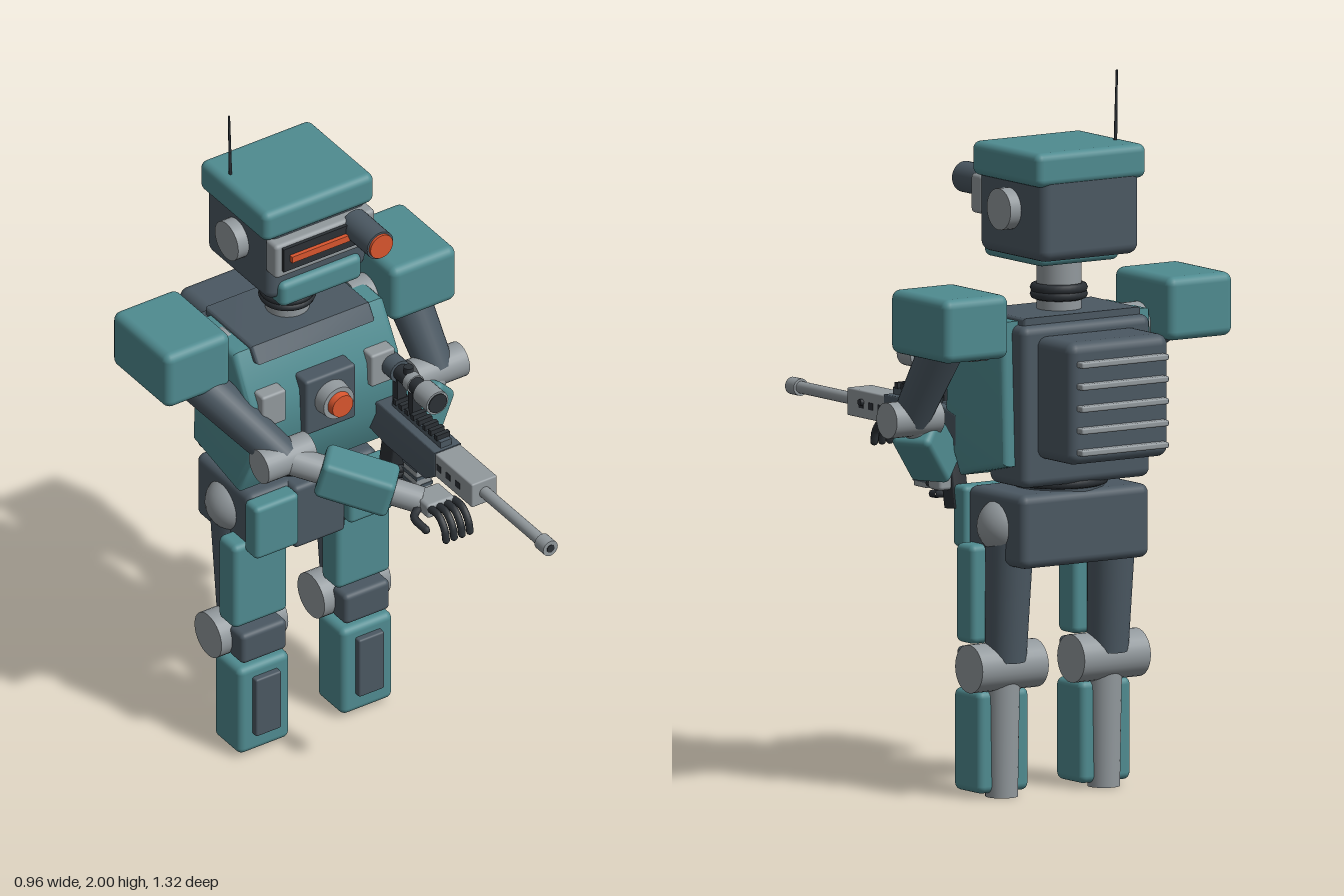
import * as THREE from 'three';
import { RoundedBoxGeometry } from 'three/addons/geometries/RoundedBoxGeometry.js';
import { toCreasedNormals } from 'three/addons/utils/BufferGeometryUtils.js';

const colour = (name, hex) => {
  const m = new THREE.MeshStandardMaterial({ color: hex });
  m.name = name;
  return m;
};
const V = (x, y, z) => new THREE.Vector3(x, y, z);

export function createModel() {
  const teal = colour('teal armour', 0x4f8b90);
  const dark = colour('slate frame', 0x4b5862);
  const light = colour('light metal', 0x92999d);
  const black = colour('black rubber', 0x2b3035);
  const orange = colour('orange glow', 0xd9552e);

  const root = new THREE.Group();
  root.name = 'robot';
  const section = (name) => {
    const g = new THREE.Group();
    g.name = name;
    root.add(g);
    return g;
  };
  const add = (g, name, geo, mat) => {
    const m = new THREE.Mesh(geo, mat);
    m.name = name;
    g.add(m);
    return m;
  };
  // Box given by its limits, with rounded edges when r > 0
  const box = (g, name, mat, x0, x1, y0, y1, z0, z1, r = 0) => {
    const s = [x1 - x0, y1 - y0, z1 - z0];
    const geo = r ? new RoundedBoxGeometry(...s, 3, r) : new THREE.BoxGeometry(...s);
    const m = add(g, name, geo, mat);
    m.position.set((x0 + x1) / 2, (y0 + y1) / 2, (z0 + z1) / 2);
    return m;
  };
  // Cylinder between two points
  const rod = (g, name, mat, a, b, ra, rb = ra, sides = 28) => {
    const m = add(g, name, new THREE.CylinderGeometry(rb, ra, a.distanceTo(b), sides), mat);
    m.position.copy(a).lerp(b, 0.5);
    m.quaternion.setFromUnitVectors(V(0, 1, 0), b.clone().sub(a).normalize());
    return m;
  };
  // Rounded box running along the line from a to b
  const sleeve = (g, name, mat, a, b, w, h, r) => {
    const m = add(g, name, new RoundedBoxGeometry(w, h, a.distanceTo(b), 3, r), mat);
    m.position.copy(a).lerp(b, 0.5);
    m.lookAt(b);
    return m;
  };
  const tube = (g, name, mat, pts, r) => {
    add(g, name, new THREE.TubeGeometry(new THREE.CatmullRomCurve3(pts), 10, r, 8), mat);
    const tip = add(g, name + 'Tip', new THREE.SphereGeometry(r, 8, 6), mat);
    tip.position.copy(pts[pts.length - 1]);
  };
  // Side outline of [z, y] points, extruded across x with a bevel
  const slab = (g, name, mat, outline, x, width, bevel) => {
    const shape = new THREE.Shape(outline.map(([z, y]) => new THREE.Vector2(z, y)));
    const geo = new THREE.ExtrudeGeometry(shape, {
      depth: width - 2 * bevel, bevelEnabled: bevel > 0, bevelSize: bevel,
      bevelThickness: bevel, bevelOffset: -bevel, bevelSegments: 3,
    });
    geo.translate(0, 0, bevel - width / 2);
    geo.rotateY(-Math.PI / 2);
    add(g, name, toCreasedNormals(geo, 0.6), mat).position.x = x;
  };

  // Head
  const head = section('head');
  box(head, 'skull', dark, -0.165, 0.165, 1.5, 1.76, -0.495, -0.18, 0.03);
  box(head, 'cap', teal, -0.183, 0.183, 1.71, 1.805, -0.5, -0.172, 0.022);
  box(head, 'jaw', teal, -0.135, 0.135, 1.48, 1.56, -0.44, -0.16, 0.02);
  box(head, 'visorFrame', light, -0.165, 0.165, 1.6, 1.71, -0.2, -0.145, 0.012);
  box(head, 'visor', black, -0.145, 0.135, 1.625, 1.7, -0.16, -0.135);
  box(head, 'visorGlow', orange, -0.125, 0.065, 1.655, 1.675, -0.137, -0.123);
  rod(head, 'eyeBarrel', dark, V(0.103, 1.68, -0.16), V(0.103, 1.68, -0.03), 0.043);
  rod(head, 'eyeLens', orange, V(0.103, 1.68, -0.03), V(0.103, 1.68, -0.022), 0.037);
  for (const s of [-1, 1])
    rod(head, 'ear', light, V(s * 0.15, 1.635, -0.335), V(s * 0.2, 1.635, -0.335), 0.058);
  rod(head, 'antenna', black, V(-0.147, 1.79, -0.395), V(-0.152, 2, -0.395), 0.005, 0.003, 8);

  // Neck
  rod(head, 'neck', light, V(0, 1.3, -0.335), V(0, 1.52, -0.335), 0.062);
  for (const y of [1.385, 1.403]) {
    const ring = add(head, 'collar', new THREE.TorusGeometry(0.066, 0.014, 8, 32), black);
    ring.rotation.x = Math.PI / 2;
    ring.position.set(0, y, -0.335);
  }

  // Torso
  const torso = section('torso');
  slab(torso, 'chest', teal, [[-0.42, 1.335], [-0.23, 1.335], [-0.15, 1.2], [-0.14, 1.03],
    [-0.21, 0.885], [-0.435, 0.935]], 0, 0.5, 0.018);
  box(torso, 'backFrame', dark, -0.215, 0.215, 0.875, 1.325, -0.475, -0.3, 0.025);
  slab(torso, 'collarPlate', dark, [[-0.45, 1.345], [-0.22, 1.345], [-0.19, 1.3], [-0.3, 1.28],
    [-0.45, 1.28]], 0, 0.39, 0.008);
  box(torso, 'chestPanel', dark, -0.083, 0.083, 1.06, 1.24, -0.19, -0.118, 0.01);
  rod(torso, 'coreRim', light, V(0, 1.163, -0.13), V(0, 1.163, -0.08), 0.055, 0.05);
  rod(torso, 'core', orange, V(0, 1.163, -0.09), V(0, 1.163, -0.06), 0.038, 0.034);
  for (const s of [-1, 1])
    box(torso, 'chestPod', light, s * 0.18 - 0.04, s * 0.18 + 0.04, 1.13, 1.235, -0.2, -0.128, 0.008);
  box(torso, 'backpack', dark, -0.167, 0.167, 0.955, 1.295, -0.635, -0.45, 0.03);
  for (let i = 0; i < 5; i++)
    box(torso, 'backpackRib', light, -0.145, 0.145, 0.983 + i * 0.061, 1.0 + i * 0.061, -0.66, -0.62, 0.005);

  // Waist and pelvis
  rod(torso, 'waist', dark, V(0, 0.82, -0.335), V(0, 0.9, -0.335), 0.125);
  const waistRing = add(torso, 'waistRing', new THREE.TorusGeometry(0.124, 0.013, 8, 36), black);
  waistRing.rotation.x = Math.PI / 2;
  waistRing.position.set(0, 0.872, -0.335);
  box(torso, 'pelvis', dark, -0.215, 0.215, 0.65, 0.855, -0.47, -0.2, 0.025);
  box(torso, 'groinPlate', dark, -0.085, 0.085, 0.65, 0.855, -0.24, -0.17, 0.015);

  // Legs
  for (const s of [-1, 1]) {
    const leg = section(s > 0 ? 'leftLeg' : 'rightLeg');
    const x = s * 0.17;
    const part = (name, mat, w, ...lim) => box(leg, name, mat, x - w, x + w, ...lim);
    const hip = add(leg, 'hipJoint', new THREE.SphereGeometry(0.08, 24, 16), light);
    hip.position.set(s * 0.177, 0.755, -0.335);
    box(leg, 'hipPlate', teal, s * 0.155 - 0.073, s * 0.155 + 0.073, 0.68, 0.852, -0.21, -0.148, 0.015);
    rod(leg, 'thigh', dark, V(x, 0.38, -0.325), V(x, 0.755, -0.345), 0.057, 0.068);
    part('thighPlate', teal, 0.09, 0.425, 0.7, -0.292, -0.208, 0.018);
    rod(leg, 'knee', light, V(x - 0.11, 0.362, -0.307), V(x + 0.11, 0.362, -0.307), 0.067);
    part('kneePad', dark, 0.075, 0.312, 0.41, -0.26, -0.19, 0.015);
    rod(leg, 'shin', light, V(x, 0, -0.305), V(x, 0.36, -0.307), 0.045, 0.05);
    part('shinPlate', teal, 0.085, 0.012, 0.297, -0.32, -0.19, 0.02);
    part('shinInset', dark, 0.042, 0.072, 0.262, -0.2, -0.17, 0.006);
  }

  // Arms: elbow and wrist points differ, as both hands hold the rifle
  const poses = [
    { name: 'rightArm', s: -1, elbow: V(-0.19, 1.06, -0.07), wrist: V(0.095, 0.955, 0.185), f0: 0.27, f1: 0.8 },
    { name: 'leftArm', s: 1, elbow: V(0.4, 1.055, -0.2), wrist: V(0.255, 0.89, -0.125), f0: 0.16, f1: 0.95 },
  ];
  for (const { name, s, elbow, wrist, f0, f1 } of poses) {
    const arm = section(name);
    const shoulder = V(s * 0.37, 1.3, -0.335);
    box(arm, 'pauldron', teal, s * 0.373 - 0.108, s * 0.373 + 0.108, 1.245, 1.422, -0.487, -0.21, 0.025);
    rod(arm, 'shoulderJoint', light, V(s * 0.2, 1.28, -0.335), V(s * 0.3, 1.28, -0.335), 0.06);
    rod(arm, 'upperArm', dark, shoulder, elbow, 0.064, 0.052);
    rod(arm, 'elbow', light, elbow.clone().add(V(-0.08, 0, 0)), elbow.clone().add(V(0.08, 0, 0)), 0.05);
    rod(arm, 'forearm', light, elbow, wrist, 0.042, 0.038);
    sleeve(arm, 'forearmPlate', teal, elbow.clone().lerp(wrist, f0), elbow.clone().lerp(wrist, f1), 0.12, 0.115, 0.018);
  }

  // Hands
  const rightHand = section('rightHand');
  box(rightHand, 'palm', light, 0.073, 0.165, 0.935, 0.98, 0.165, 0.25, 0.01);
  for (let i = 0; i < 4; i++) {
    const x = 0.085 + i * 0.026;
    tube(rightHand, 'finger', black, [V(x, 0.965, 0.24), V(x, 0.965, 0.285), V(x, 0.935, 0.315), V(x, 0.905, 0.322)], 0.011);
  }
  tube(rightHand, 'thumb', black, [V(0.08, 0.95, 0.2), V(0.045, 0.94, 0.225), V(0.05, 0.925, 0.275)], 0.012);
  const leftHand = section('leftHand');
  box(leftHand, 'palm', light, 0.225, 0.27, 0.835, 0.915, -0.15, -0.09, 0.01);
  for (let i = 0; i < 4; i++) {
    const y = 0.905 - i * 0.027, z = -0.085 - i * 0.015;
    tube(leftHand, 'finger', black, [V(0.258, y, z), V(0.25, y - 0.005, z + 0.045), V(0.21, y - 0.01, z + 0.06), V(0.178, y - 0.01, z + 0.04)], 0.011);
  }

  // Rifle
  const gun = section('rifle');
  const gx = 0.207, gy = 1.023;
  const gunBox = (name, mat, w, ...lim) => box(gun, name, mat, gx - w, gx + w, ...lim);
  const gunRod = (name, mat, y, z0, z1, r) => rod(gun, name, mat, V(gx, y, z0), V(gx, y, z1), r, r, 20);
  gunRod('barrel', light, gy, 0.3, 0.63, 0.017);
  gunRod('muzzleBrake', light, gy, 0.612, 0.655, 0.024);
  gunRod('muzzleHole', black, gy, 0.65, 0.657, 0.012);
  gunBox('handguard', light, 0.042, 0.985, 1.062, 0.145, 0.33, 0.005);
  for (let i = 0; i < 3; i++)
    gunBox('ventSlot', black, 0.0435, 1.013, 1.033, 0.157 + i * 0.046, 0.178 + i * 0.046);
  slab(gun, 'receiver', dark, [[0.15, 1.065], [-0.13, 1.07], [-0.2, 1.05], [-0.2, 0.965],
    [-0.09, 0.95], [0.1, 0.95], [0.15, 0.985]], gx, 0.088, 0.004);
  gunBox('rail', dark, 0.018, 1.065, 1.085, -0.1, 0.14);
  for (let i = 0; i < 8; i++)
    gunBox('railTooth', black, 0.022, 1.083, 1.1, -0.09 + i * 0.029, -0.076 + i * 0.029);
  gunBox('magazine', light, 0.025, 0.825, 0.955, -0.035, 0.032, 0.004);
  for (let i = 0; i < 4; i++)
    gunBox('magazineRib', dark, 0.027, 0.84 + i * 0.028, 0.85 + i * 0.028, -0.037, 0.034);
  slab(gun, 'grip', black, [[-0.08, 0.96], [-0.14, 0.96], [-0.17, 0.785], [-0.115, 0.78]], gx, 0.05, 0.006);

  // Scope
  gunRod('scopeTube', black, 1.185, -0.13, 0.05, 0.024);
  gunRod('scopeBell', light, 1.185, 0.03, 0.097, 0.036);
  gunRod('scopeLens', black, 1.185, 0.096, 0.1, 0.03);
  gunRod('scopeEyepiece', dark, 1.185, -0.14, -0.085, 0.033);
  gunRod('scopeBand', light, 1.185, -0.035, -0.01, 0.028);
  for (const z of [-0.09, -0.015]) gunBox('scopeMount', black, 0.015, 1.075, 1.175, z - 0.012, z + 0.012);
  rod(gun, 'scopeDial', black, V(gx, 1.19, -0.045), V(gx, 1.225, -0.045), 0.014);
  for (const z of [0.055, 0.145, 0.255])
    rod(gun, 'sideBolt', black, V(gx + 0.03, 1.03, z), V(gx + 0.052, 1.03, z), 0.009, 0.009, 12);

  return root;
}
